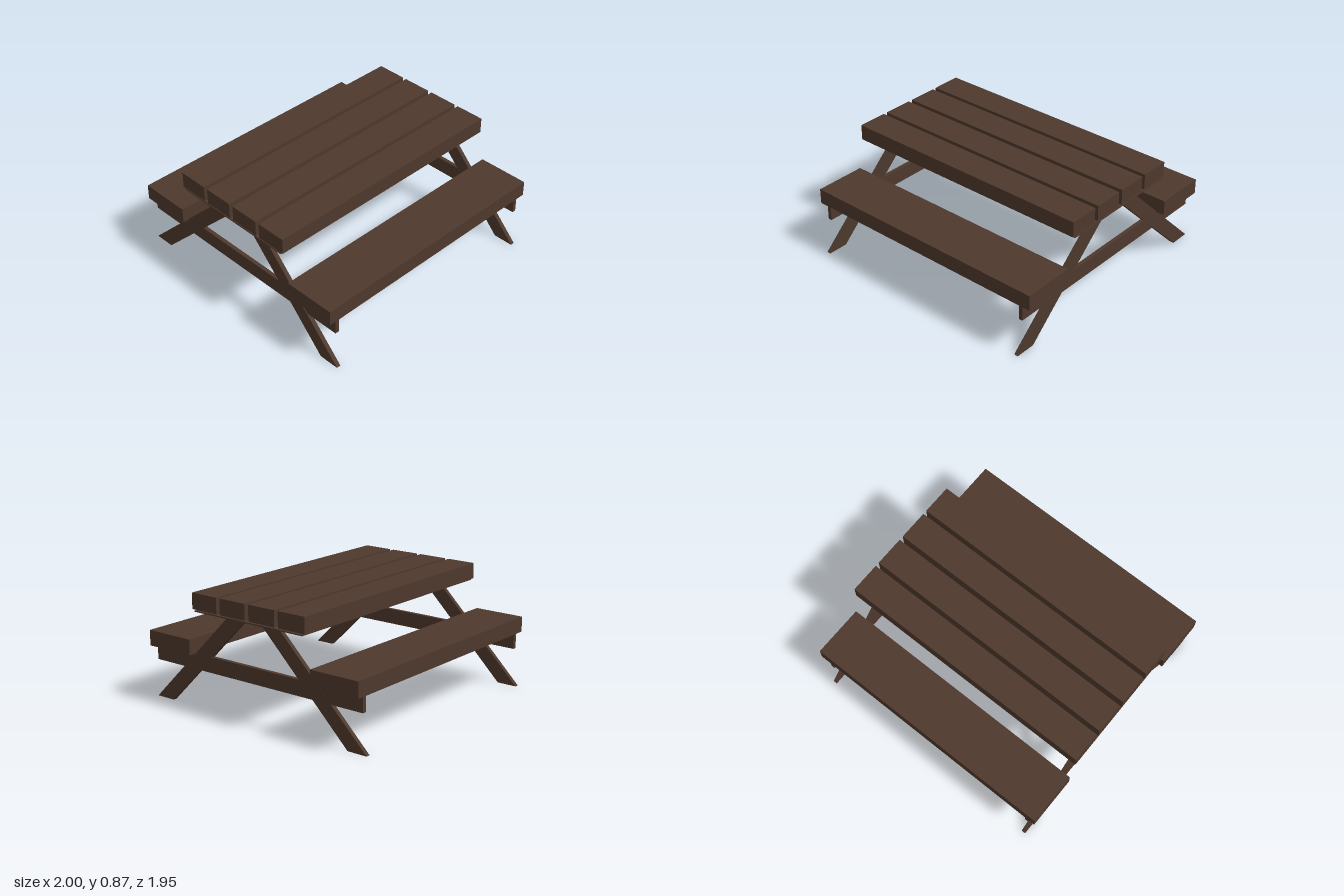
import * as THREE from 'three';

export function createModel() {
  const model = new THREE.Group();
  model.name = 'picnicTable';
  const wood = new THREE.MeshStandardMaterial({ color: 0x4e392d });
  wood.name = 'dark brown wood';

  const add = (name, geometry) => {
    const mesh = new THREE.Mesh(geometry, wood);
    mesh.name = name;
    model.add(mesh);
  };

  // Box given by its lower and upper limits on each axis
  const board = (name, [x0, x1], [y0, y1], [z0, z1]) => {
    const geometry = new THREE.BoxGeometry(x1 - x0, y1 - y0, z1 - z0);
    geometry.translate((x0 + x1) / 2, (y0 + y1) / 2, (z0 + z1) / 2);
    add(name, geometry);
  };

  // Slanted leg: a box sheared so that foot and top are both cut level
  const leg = (name, footX, topX, side) => {
    const height = 0.742;
    const geometry = new THREE.BoxGeometry(0.032, height, 0.158);
    geometry.translate(0, height / 2, 0);
    const p = geometry.attributes.position;
    for (let i = 0; i < p.count; i++) {
      const t = p.getY(i) / height;
      p.setX(i, p.getX(i) + THREE.MathUtils.lerp(footX, topX, t));
      p.setZ(i, p.getZ(i) + side * THREE.MathUtils.lerp(0.898, 0.138, t));
    }
    geometry.computeVertexNormals();
    add(name, geometry);
  };

  // Four table planks over a thin panel
  for (const z of [-0.397, -0.133, 0.133, 0.397]) {
    board('tablePlank', [-1, 1], [0.754, 0.873], [z - 0.116, z + 0.116]);
  }
  board('underPanel', [-1, 1], [0.738, 0.747], [-0.492, 0.492]);

  // Benches
  board('frontBench', [-1, 1], [0.407, 0.524], [0.555, 0.956]);
  board('backBench', [-1, 1], [0.407, 0.524], [-0.956, -0.555]);

  // End frames: crossbeam and two legs, the front one slightly askew
  for (const [side, x] of [['right', -0.925], ['left', 0.92]]) {
    board(side + 'Crossbeam', [x - 0.015, x + 0.015], [0.29, 0.407], [-0.945, 0.948]);
    leg(side + 'FrontLeg', x - 0.014, x + 0.008, 1);
    leg(side + 'BackLeg', x, x, -1);
  }
  return model;
}
